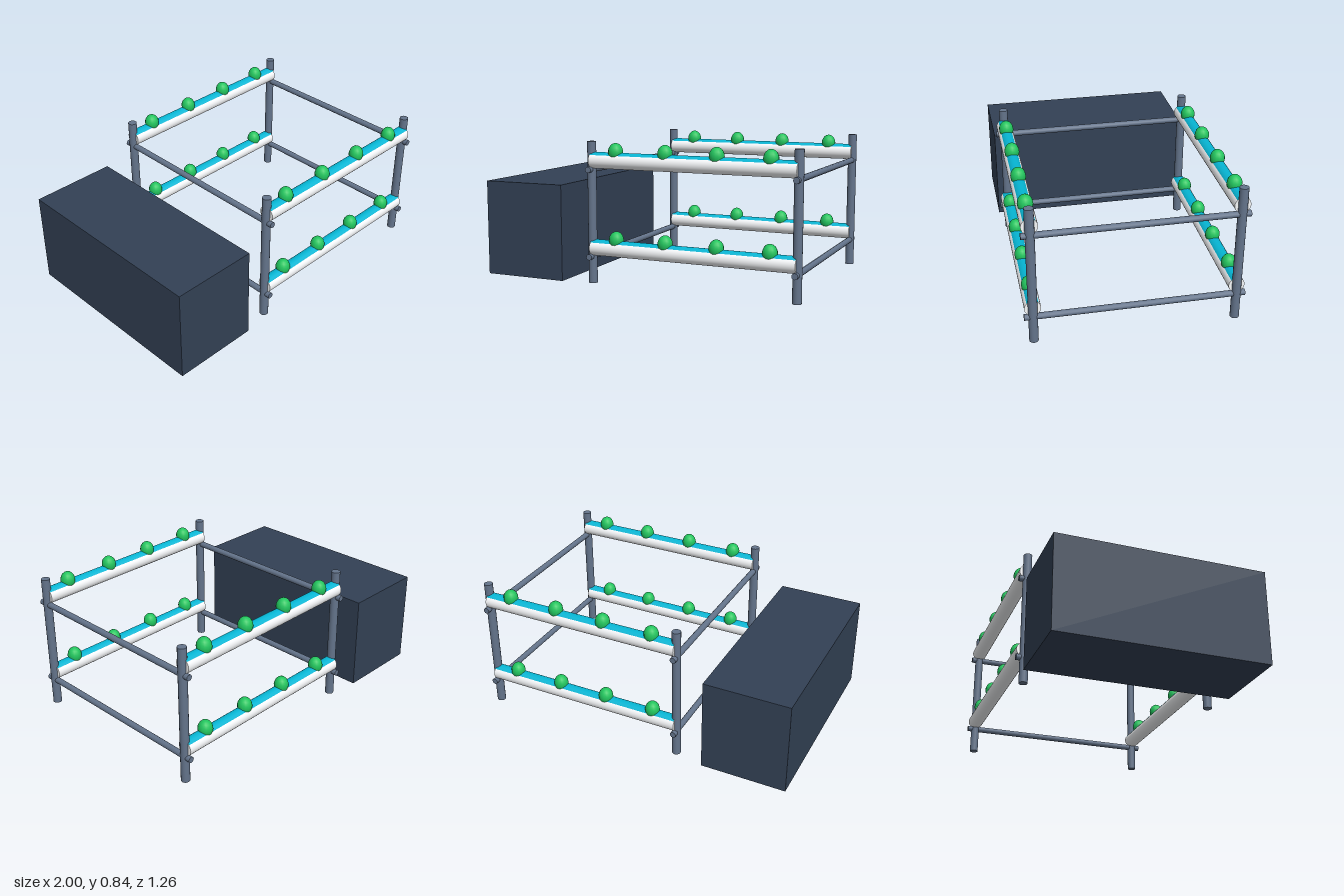
import * as THREE from 'three';

const mat = (color) => new THREE.MeshStandardMaterial({ color });

export function createModel() {
  const group = new THREE.Group();
  const metal = mat(0x64748b);
  const white = mat(0xf8fafc);
  const teal = mat(0x06b6d4);
  const green = mat(0x22c55e);
  const slate = mat(0x334155);

  const add = (name, geometry, material, x, y, z) => {
    const mesh = new THREE.Mesh(geometry, material);
    mesh.name = name;
    mesh.position.set(x, y, z);
    group.add(mesh);
    return mesh;
  };

  const xEnds = [-0.29, 0.97];
  const zSides = [-0.58, 0.58];
  const midX = 0.34;
  const length = 1.26;

  // Reservoir tank beside the rack
  add('tank', new THREE.BoxGeometry(0.525, 0.58, 1.26), slate, -0.7375, 0.29, 0);

  // Four upright posts
  const post = new THREE.CylinderGeometry(0.0265, 0.0265, 0.843, 16);
  for (const x of xEnds) for (const z of zSides) add('post', post, metal, x, 0.4215, z);

  // Two levels: cross rails, growing pipes, water strips and plants
  const rail = new THREE.CylinderGeometry(0.0185, 0.0185, 1.26, 12).rotateX(Math.PI / 2);
  const pipe = new THREE.CylinderGeometry(0.047, 0.047, length, 24).rotateZ(Math.PI / 2);
  const water = new THREE.CylinderGeometry(0.042, 0.042, length - 0.004, 24).rotateZ(Math.PI / 2);
  const plant = new THREE.SphereGeometry(0.044, 14, 12).scale(1, 1.2, 1);

  for (const railY of [0.16, 0.678]) {
    const pipeY = railY + 0.053;
    for (const x of xEnds) add('crossRail', rail, metal, x, railY, 0);
    for (const z of zSides) {
      add('growPipe', pipe, white, midX, pipeY, z);
      add('waterStrip', water, teal, midX, pipeY + 0.008, z);
      for (let i = 0; i < 4; i++) {
        add('plant', plant, green, midX + (i - 1.5) * length / 4, pipeY + 0.053, z);
      }
    }
  }
  return group;
}
